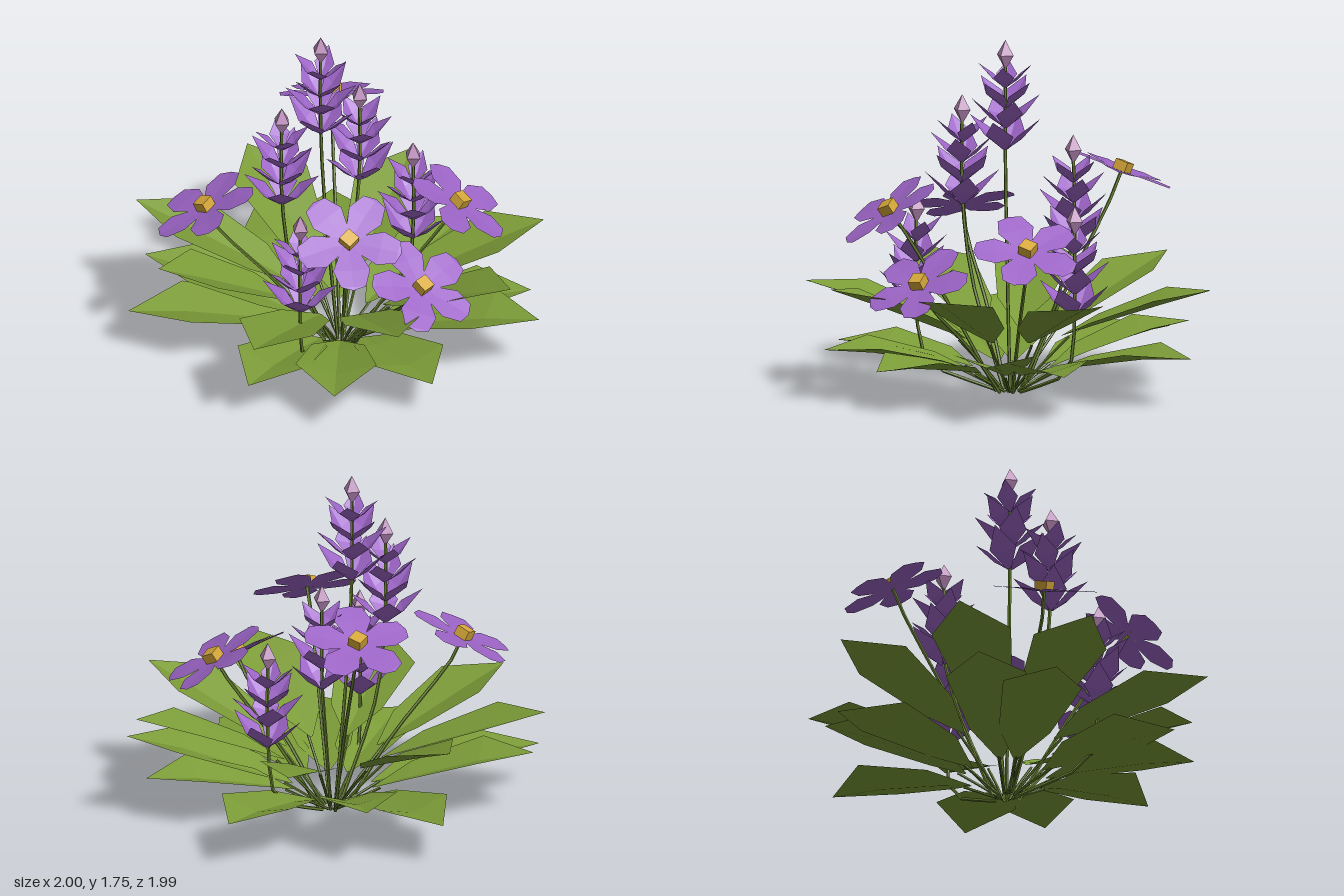
import * as THREE from 'three';

const mat = (name, color, side = THREE.FrontSide) =>
  new THREE.MeshStandardMaterial({ name, color, side, flatShading: true });

const leafGreen = mat('leaf green', 0x7c9c38, THREE.DoubleSide);
const stemGreen = mat('stem green', 0x667f30);
const petalPurple = mat('petal purple', 0x9c64c6, THREE.DoubleSide);
const budPink = mat('bud pink', 0xb788b6);
const centreGold = mat('centre gold', 0xd6a83a);

// Folded blade growing along +x; each row is [x, y, halfWidth, edgeLift]
function bladeGeometry(rows) {
  const pos = [], index = [];
  rows.forEach(([x, y, w, lift], i) => {
    pos.push(x, y + lift, -w, x, y, 0, x, y + lift, w);
    if (i === 0) return;
    for (let k = 0; k < 2; k++) {
      const a = (i - 1) * 3 + k, b = i * 3 + k;
      index.push(a, a + 1, b + 1, a, b + 1, b);
    }
  });
  const g = new THREE.BufferGeometry();
  g.setAttribute('position', new THREE.Float32BufferAttribute(pos, 3));
  g.setIndex(index);
  const flat = g.toNonIndexed();
  flat.computeVertexNormals();
  return flat;
}

function add(parent, name, geometry, material) {
  const m = new THREE.Mesh(geometry, material);
  m.name = name;
  parent.add(m);
  return m;
}

function stem(parent, name, points, radius) {
  const curve = new THREE.CatmullRomCurve3(points.map((p) => new THREE.Vector3(...p)));
  add(parent, name, new THREE.TubeGeometry(curve, 8, radius, 5), stemGreen);
}

// Leaf tips [x, y, z] for the two tiers
const upperTips = [
  [0.94, 0.55, -0.34], [0.78, 0.6, 0.65], [0.13, 0.63, 0.99], [-0.55, 0.61, 0.84],
  [-1, 0.53, 0.29], [-0.82, 0.61, -0.48], [-0.38, 0.6, -1], [0.37, 0.61, -0.92],
];
const lowerTips = [
  [1, 0.26, -0.03], [0.67, 0.25, 0.66], [0.39, 0.32, 0.95], [-0.29, 0.22, 0.84],
  [-0.73, 0.25, 0.58], [-0.89, 0.22, 0.16], [-0.77, 0.25, -0.72],
  [-0.43, 0.35, -0.9], [0.4, 0.235, -0.9], [0.66, 0.33, -0.62],
];

// Leaf from its tip, with the blade starting at baseR, baseY and arching upwards
function leaf([x, y, z], baseR, baseY, arch) {
  const g = new THREE.Group();
  g.name = 'leaf';
  const R = Math.hypot(x, z);
  const rows = [[0, 0.008, 0, 0], [0.22, 0.13, 0.035, 0.6], [0.66, 0.2, 0.055, 1], [1, 0, 0, 0]].map(
    ([t, w, lift, a]) => [baseR + (R - baseR) * t, baseY + (y - baseY) * t + a * arch, w, lift]);
  add(g, 'leafBlade', bladeGeometry(rows), leafGreen);
  stem(g, 'leafStalk', [[0.04, 0.02, 0], [baseR * 0.6, baseY * 0.5, 0], [baseR + 0.04, baseY, 0]], 0.007);
  g.rotation.y = -Math.atan2(z, x);
  return g;
}

// Upright flower spikes: tip position and the bend in the stem
const spikes = [
  { tip: [-0.07, 1.76, -0.07], bend: [-0.06, 0.9, -0.06] },
  { tip: [-0.33, 1.46, -0.1], bend: [-0.27, 0.55, -0.09] },
  { tip: [0.285, 1.31, -0.12], bend: [0.2, 0.45, -0.09] },
  { tip: [0.42, 1.0, 0.11], bend: [0.37, 0.17, 0.09] },
  { tip: [-0.46, 0.99, 0.13], bend: [-0.41, 0.16, 0.11] },
];
const floretGeometry = bladeGeometry([
  [0.008, 0, 0.012, 0], [0.085, 0.055, 0.072, 0.025], [0.185, 0.165, 0, 0],
]);

function spike({ tip: [x, y, z], bend }, n) {
  const g = new THREE.Group();
  g.name = 'flowerSpike';
  const start = [x * 0.15, 0.02, z * 0.15];
  stem(g, 'spikeStem', [start, bend, [x, y - 0.5, z], [x, y - 0.1, z]], 0.009);
  const bud = add(g, 'spikeBud', new THREE.OctahedronGeometry(1), budPink);
  bud.scale.set(0.047, 0.075, 0.047);
  bud.position.set(x, y - 0.078, z);
  // Four whorls of florets, smaller towards the tip
  [[0.55, 1], [0.44, 0.95], [0.34, 0.86], [0.24, 0.72]].forEach(([drop, s], i) => {
    for (let k = 0; k < 4; k++) {
      const p = add(g, 'floretPetal', floretGeometry, petalPurple);
      p.position.set(x, y - drop, z);
      p.rotation.y = 0.17 + n * 0.5 + i * 0.6 + k * Math.PI / 2;
      p.scale.setScalar(s);
    }
  });
  return g;
}

// Open five-petal flowers: centre, direction faced, turn
const flowers = [
  { at: [-0.51, 0.835, -0.435], facing: [-0.28, 0.9, -0.32], turn: 1.4 },
  { at: [0.4, 1.09, -0.4], facing: [0.26, 0.92, -0.25], turn: 1.36 },
  { at: [-0.44, 0.945, 0.425], facing: [-0.38, 0.82, 0.42], turn: 1.45 },
  { at: [-0.15, 0.635, 0.65], facing: [-0.1, 0.84, 0.54], turn: 1.3 },
  { at: [0.35, 0.815, 0.46], facing: [0.28, 0.85, 0.42], turn: 1.2 },
];
const petalGeometry = bladeGeometry([
  [0.01, 0, 0.03, 0], [0.075, 0.004, 0.055, 0.002], [0.16, 0.01, 0.092, 0.003],
  [0.25, 0.012, 0.062, 0.002], [0.268, 0.01, 0, 0],
]);

function flower({ at, facing, turn }) {
  const g = new THREE.Group();
  g.name = 'openFlower';
  const [x, y, z] = at;
  const normal = new THREE.Vector3(...facing).normalize();
  const neck = new THREE.Vector3(...at).addScaledVector(normal, -0.12);
  stem(g, 'flowerStem',
    [[x * 0.12, 0.02, z * 0.12], [x * 0.45, y * 0.42, z * 0.45], neck.toArray(), at], 0.009);
  const head = new THREE.Group();
  head.name = 'flowerHead';
  head.position.set(x, y, z);
  head.quaternion.setFromUnitVectors(new THREE.Vector3(0, 1, 0), normal);
  for (let k = 0; k < 5; k++) {
    add(head, 'petal', petalGeometry, petalPurple).rotation.y = turn + k * Math.PI * 0.4;
  }
  add(head, 'flowerCentre', new THREE.BoxGeometry(0.07, 0.05, 0.07), centreGold).position.y = 0.027;
  g.add(head);
  return g;
}

export function createModel() {
  const plant = new THREE.Group();
  plant.name = 'floweringPlant';
  upperTips.forEach((t) => plant.add(leaf(t, 0.25, 0.3, 0.005)));
  lowerTips.forEach((t) => plant.add(leaf(t, 0.2, 0.13, 0.02)));
  spikes.forEach((s, n) => plant.add(spike(s, n)));
  flowers.forEach((f) => plant.add(flower(f)));
  return plant;
}
